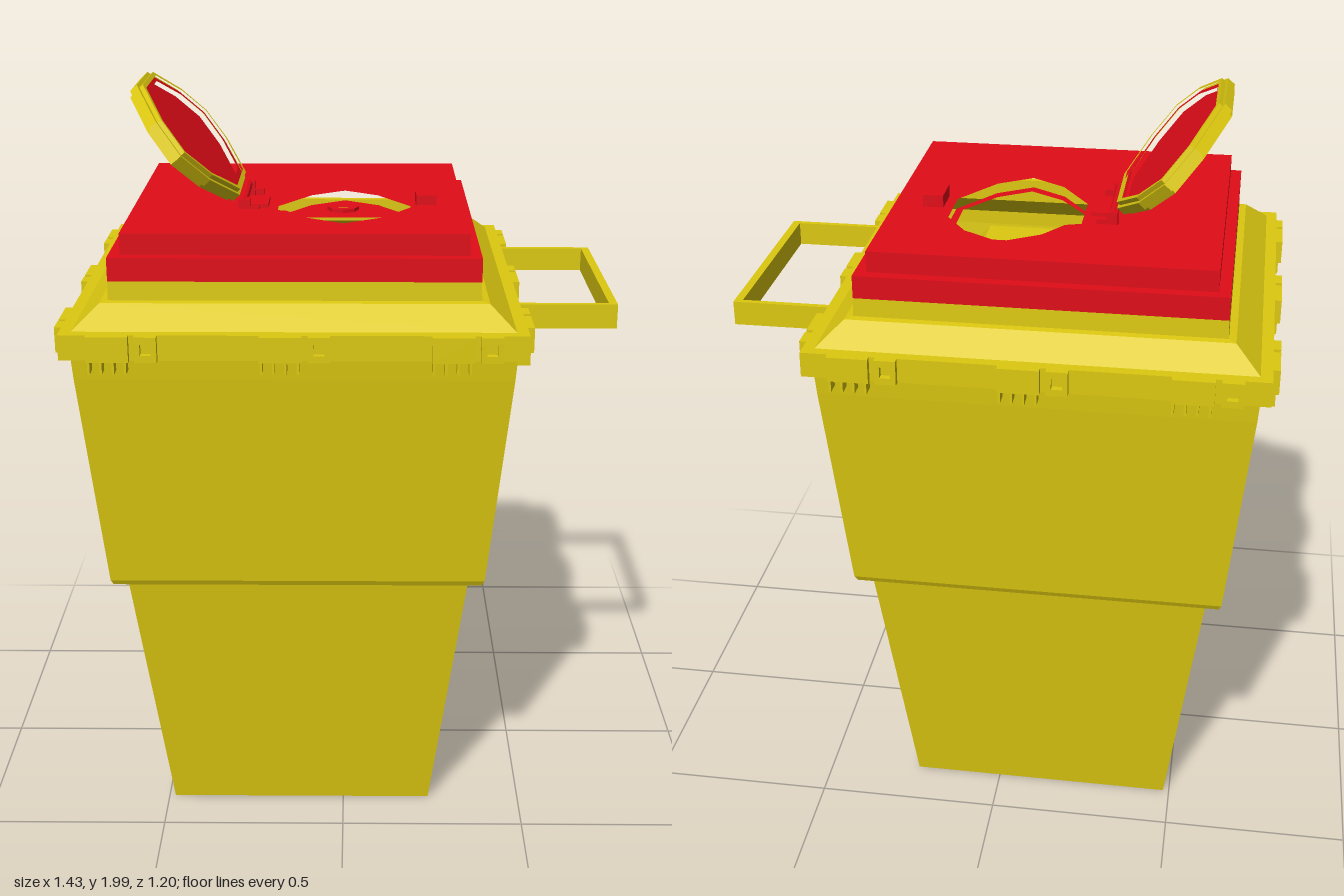
import * as THREE from 'three';

const YELLOW = new THREE.MeshStandardMaterial({ color: 0xdcc810, flatShading: true });
const RED = new THREE.MeshStandardMaterial({ color: 0xe00c18, flatShading: true });
const CX = -0.12; // the bin sits off centre, balanced by the handle

function add(parent, name, geometry, material) {
  const mesh = new THREE.Mesh(geometry, material);
  mesh.name = name;
  parent.add(mesh);
  return mesh;
}

// Box given by its minimum and maximum corners
function block(parent, name, material, [x0, y0, z0], [x1, y1, z1]) {
  const mesh = add(parent, name, new THREE.BoxGeometry(x1 - x0, y1 - y0, z1 - z0), material);
  mesh.position.set((x0 + x1) / 2, (y0 + y1) / 2, (z0 + z1) / 2);
  return mesh;
}

// Square loft from [halfWidth, y] pairs
function squareLoft(profile) {
  const points = profile.map(([r, y]) => new THREE.Vector2(r * Math.SQRT2, y));
  return new THREE.LatheGeometry(points, 4, Math.PI / 4).translate(CX, 0, 0);
}

const vectors = (pts) => pts.map(([x, z]) => new THREE.Vector2(x, -z));

// Horizontal slab from an [x, z] outline with holes
function slab(outline, holes, y0, y1) {
  const shape = new THREE.Shape(vectors(outline));
  holes.forEach((h) => shape.holes.push(new THREE.Path(vectors(h))));
  return new THREE.ExtrudeGeometry(shape, { depth: y1 - y0, bevelEnabled: false })
    .rotateX(-Math.PI / 2).translate(0, y0, 0);
}

const square = (h) => [[CX - h, -h], [CX + h, -h], [CX + h, h], [CX - h, h]];

// Ten-sided outline shared by the opening and its flap, shrunk by an inset
function decagon(inset = 0) {
  const a = 1 - inset / 0.195, b = 1 - inset / 0.325;
  return [[0.195, -0.115], [0.195, 0.115], [0.1, 0.26], [0, 0.325], [-0.1, 0.26],
    [-0.195, 0.115], [-0.195, -0.115], [-0.1, -0.26], [0, -0.325], [0.1, -0.26]]
    .map(([x, z]) => [x * a, z * b]);
}

function circle(x, z, r, n) {
  return Array.from({ length: n }, (_, i) => {
    const t = (i / n) * Math.PI * 2;
    return [x + r * Math.cos(t), z + r * Math.sin(t)];
  });
}

// Three clips along one side, built facing +z
function clipRow() {
  const row = new THREE.Group();
  row.name = 'clipRow';
  for (const c of [-0.425, 0, 0.425]) {
    block(row, 'clipTab', YELLOW, [c - 0.085, 1.39, 0.57], [c + 0.02, 1.455, 0.598]);
    // Ribs hanging under the tab
    for (let i = 0; i < 4; i++) {
      const x = c - 0.08 + i * 0.03;
      block(row, 'clipRib', YELLOW, [x - 0.003, 1.357, 0.54], [x + 0.003, 1.39, 0.59]);
    }
    // Square buckle with a window
    const x0 = c + 0.035, x1 = c + 0.09;
    block(row, 'buckleTop', YELLOW, [x0, 1.437, 0.57], [x1, 1.455, 0.598]);
    block(row, 'buckleBottom', YELLOW, [x0, 1.39, 0.57], [x1, 1.408, 0.598]);
    block(row, 'buckleSide', YELLOW, [x0, 1.408, 0.57], [x0 + 0.014, 1.437, 0.598]);
    block(row, 'buckleSide', YELLOW, [x1 - 0.014, 1.408, 0.57], [x1, 1.437, 0.598]);
  }
  return row;
}

// Flap: yellow shell with a red lining, drawn in XY and facing +z
function buildFlap() {
  const flap = new THREE.Group();
  flap.name = 'openFlap';
  const plate = (name, inset, hole, z0, z1, material) => {
    const holes = hole === null ? [] : [decagon(hole).map(([x, z]) => [x, z])];
    const g = slab(decagon(inset), holes, z0, z1).rotateX(Math.PI / 2).rotateZ(Math.PI / 2);
    add(flap, name, g, material);
  };
  plate('flapBack', 0.012, null, -0.024, -0.012, YELLOW);
  plate('flapShell', 0, 0.018, -0.012, 0.012, YELLOW);
  plate('flapLip', 0.01, 0.022, 0.012, 0.024, YELLOW);
  plate('flapLiningRim', 0.018, 0.034, -0.012, 0.016, RED);
  plate('flapLining', 0.018, null, -0.012, -0.002, RED);
  flap.rotation.set(0, Math.PI / 2, 0.735, 'ZYX');
  flap.position.set(-0.417, 1.838, 0);
  return flap;
}

export function createModel() {
  const model = new THREE.Group();
  model.name = 'wasteContainer';

  // Hollow tapered body with a step halfway up
  add(model, 'body', squareLoft([
    [0, 0], [0.363, 0], [0.455, 0.735], [0.488, 0.735], [0.495, 0.75], [0.55, 1.33], [0.555, 1.4],
    [0.54, 1.4], [0.478, 0.755], [0.44, 0.75], [0.35, 0.02], [0, 0.02],
  ]), YELLOW);

  // Rim, sloping shoulder and collar
  add(model, 'rim', squareLoft([
    [0.535, 1.39], [0.58, 1.39], [0.58, 1.455], [0.55, 1.455], [0.487, 1.51], [0.468, 1.512],
    [0.466, 1.565], [0.445, 1.565], [0.445, 1.5], [0.535, 1.43], [0.535, 1.39],
  ]), YELLOW);

  // Clips on all four sides
  for (let i = 0; i < 4; i++) {
    const row = clipRow();
    row.rotation.y = (i * Math.PI) / 2;
    row.position.x = CX;
    model.add(row);
  }

  // Carrying handle
  const handle = new THREE.Group();
  handle.name = 'handle';
  for (const s of [-1, 1]) {
    block(handle, 'handleArm', YELLOW, [0.455, 1.39, s * 0.293 - 0.008], [0.7, 1.455, s * 0.293 + 0.008]);
  }
  block(handle, 'handleGrip', YELLOW, [0.693, 1.39, -0.301], [0.715, 1.455, 0.301]);
  model.add(handle);

  // Red lid in two tiers, the upper one notched for the hinge and latch
  add(model, 'lidLowerTier', slab(square(0.467), [decagon(0.01)], 1.56, 1.62), RED);
  add(model, 'lidUpperTier', slab(square(0.437), [decagon(0.01)], 1.62, 1.652), RED);
  const notched = [
    [0.195, -0.115], [0.305, -0.115], [0.305, 0.115], [0.195, 0.115], [0.1, 0.26], [0, 0.325],
    [-0.1, 0.26], [-0.15, 0.185], [-0.21, 0.165], [-0.3, 0.165], [-0.3, -0.165], [-0.21, -0.165],
    [-0.15, -0.185], [-0.1, -0.26], [0, -0.325], [0.1, -0.26],
  ];
  add(model, 'lidTop', slab(square(0.437), [notched], 1.652, 1.675), RED);

  // Sunken floor with the drop opening and a small round hole
  const drop = [[-0.178, -0.1], [0.17, -0.1], [0.17, 0.11], [0.09, 0.225], [0, 0.285],
    [-0.095, 0.225], [-0.178, 0.11]];
  add(model, 'recessFloor', slab(decagon(0.005), [drop, circle(-0.005, -0.2, 0.027, 12)], 1.575, 1.59), RED);
  add(model, 'holeCollar', slab(circle(-0.005, -0.2, 0.045, 8), [circle(-0.005, -0.2, 0.027, 12)], 1.589, 1.6), RED);

  // Tilted catch tray below the opening
  const tray = new THREE.Shape([[-0.26, 1.47], [-0.26, 1.455], [0.12, 1.455], [0.2, 1.365],
    [0.215, 1.375], [0.127, 1.47]].map(([x, y]) => new THREE.Vector2(x, y)));
  add(model, 'catchTray', new THREE.ExtrudeGeometry(tray, { depth: 0.62, bevelEnabled: false })
    .translate(0, 0, -0.31), YELLOW);

  // Latch tongue
  block(model, 'latch', RED, [0.195, 1.645, -0.045], [0.25, 1.685, 0.045]);

  // Hinge plate, knuckles and pin
  block(model, 'hingePlate', RED, [-0.27, 1.65, -0.05], [-0.205, 1.662, 0.05]);
  for (const s of [-1, 1]) {
    block(model, 'hingeKnuckle', RED, [-0.28, 1.65, s * 0.113 - 0.014], [-0.25, 1.692, s * 0.113 + 0.014]);
    block(model, 'hingeFoot', RED, [-0.25, 1.65, s * 0.113 - 0.006], [-0.225, 1.67, s * 0.113 + 0.006]);
  }
  const pin = add(model, 'hingePin', new THREE.CylinderGeometry(0.012, 0.012, 0.24, 8), RED);
  pin.rotation.x = Math.PI / 2;
  pin.position.set(-0.268, 1.683, 0);

  model.add(buildFlap());
  return model;
}
